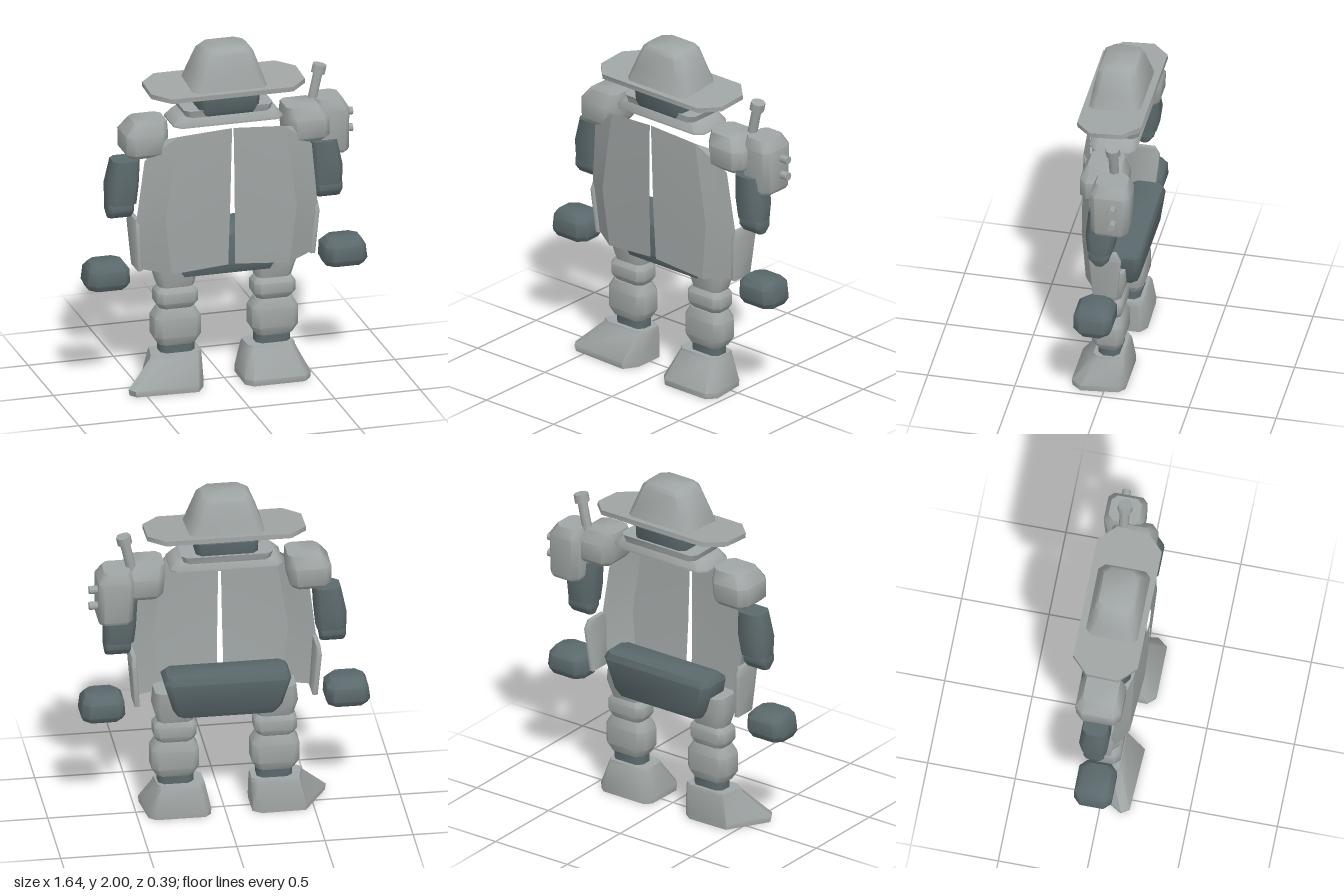
import * as THREE from 'three';
import { toCreasedNormals } from 'three/addons/utils/BufferGeometryUtils.js';

const light = new THREE.MeshStandardMaterial({ color: 0xa0a6a5 });
light.name = 'light grey';
light.side = THREE.DoubleSide;
const dark = new THREE.MeshStandardMaterial({ color: 0x5c6a6d });
dark.name = 'slate grey';

// Bevelled rectangle at height y, running from +x towards +z
function ring(y, x0, x1, z0, z1, c = 0.03) {
  return [[x1, z0 + c], [x1, z1 - c], [x1 - c, z1], [x0 + c, z1],
    [x0, z1 - c], [x0, z0 + c], [x0 + c, z0], [x1 - c, z0]].map(([x, z]) => [x, y, z]);
}

const poly = (y, pts) => pts.map(([x, z]) => [x, y, z]);

function build(triangles, crease) {
  const g = new THREE.BufferGeometry();
  g.setAttribute('position', new THREE.Float32BufferAttribute(triangles.flat(), 3));
  return toCreasedNormals(g, crease);
}

// Closed solid through rings stacked from bottom to top
function loft(rings, crease = 0.9) {
  const t = [];
  const n = rings[0].length;
  const middle = r => [0, 1, 2].map(k => r.reduce((s, p) => s + p[k], 0) / n);
  const low = rings[0], high = rings[rings.length - 1];
  const lowMid = middle(low), highMid = middle(high);
  for (let j = 0; j < n; j++) {
    const k = (j + 1) % n;
    for (let i = 0; i < rings.length - 1; i++) {
      const a = rings[i], b = rings[i + 1];
      t.push(a[j], b[j], a[k], a[k], b[j], b[k]);
    }
    t.push(lowMid, low[j], low[k], highMid, high[k], high[j]);
  }
  return build(t, crease);
}

export function createModel() {
  const model = new THREE.Group();
  const add = (name, geometry, material, parent = model) => {
    const mesh = new THREE.Mesh(geometry, material);
    mesh.name = name;
    parent.add(mesh);
    return mesh;
  };
  // Solid given as rows of [y, x0, x1, z0, z1, bevel]; side -1 mirrors it
  const solid = (name, material, rows, side = 1) => add(name, loft(rows.map(
    ([y, a, b, ...rest]) => side > 0 ? ring(y, a, b, ...rest) : ring(y, -b, -a, ...rest))), material);

  // Hat
  const brim = solid('hatBrim', light, [
    [-0.016, -0.45, 0.45, -0.185, 0.185, 0.095],
    [0.012, -0.45, 0.45, -0.185, 0.185, 0.095]]);
  brim.position.set(0, 1.77, -0.012);
  brim.rotation.x = 0.07;
  solid('hatCrown', light, [
    [1.77, -0.22, 0.22, -0.16, 0.14, 0.03],
    [1.86, -0.19, 0.19, -0.145, 0.127, 0.04],
    [1.975, -0.145, 0.15, -0.12, 0.105, 0.04],
    [2.0, -0.12, 0.125, -0.105, 0.085, 0.04]]);

  // Head and collar
  solid('head', dark, [
    [1.62, -0.165, 0.165, -0.13, 0.11, 0.03],
    [1.65, -0.175, 0.175, -0.14, 0.125, 0.03],
    [1.73, -0.18, 0.18, -0.14, 0.13, 0.03]]);
  solid('lowerCollar', light, [
    [1.565, -0.32, 0.32, -0.15, 0.12, 0.04],
    [1.575, -0.32, 0.32, -0.15, 0.12, 0.04],
    [1.62, -0.28, 0.28, -0.13, 0.1, 0.04]]);
  solid('upperCollar', light, [
    [1.62, -0.245, 0.245, -0.15, 0.11, 0.03],
    [1.66, -0.26, 0.26, -0.155, 0.115, 0.03]]);

  // Waist block
  solid('waist', dark, [
    [0.65, -0.28, 0.28, -0.15, 0.06, 0.03],
    [0.7, -0.31, 0.31, -0.17, 0.07, 0.03],
    [0.87, -0.36, 0.36, -0.19, 0.04, 0.03],
    [0.91, -0.34, 0.34, -0.18, 0.0, 0.03]]);

  // Coat fronts: thin folded sheets, open at the back
  const coatRows = [
    [[0.004, 1.56, 0.172], [0.31, 1.53, 0.145], [0.38, 1.5, 0.09]],
    [[0.008, 1.4, 0.17], [0.335, 1.37, 0.145], [0.49, 1.38, 0.08]],
    [[0.014, 1.05, 0.163], [0.385, 1.04, 0.14], [0.53, 1.02, 0.055]],
    [[0.02, 0.735, 0.148], [0.345, 0.7, 0.125], [0.51, 0.72, 0.03]]];
  for (const s of [1, -1]) {
    const t = [];
    const p = (i, j) => { const [x, y, z] = coatRows[i][j]; return [s * x, y, z]; };
    for (let i = 0; i < 3; i++) for (let j = 0; j < 2; j++) {
      const a = p(i, j), b = p(i + 1, j), c = p(i + 1, j + 1), d = p(i, j + 1);
      if (s > 0) t.push(a, b, c, a, c, d);
      else t.push(a, c, b, a, d, c);
    }
    add(s > 0 ? 'leftCoatFront' : 'rightCoatFront', build(t, 0.3), light);
  }

  for (const s of [1, -1]) {
    const side = s > 0 ? 'left' : 'right';

    // Hip plate
    solid(side + 'HipPlate', light, [
      [0.71, 0.49, 0.52, -0.09, 0.05, 0.006],
      [0.97, 0.51, 0.54, -0.115, 0.07, 0.006],
      [1.02, 0.51, 0.535, -0.09, 0.05, 0.006]], s);

    // Arm
    solid(side + 'Shoulder', light, [
      [1.4, 0.38, 0.57, -0.12, 0.09, 0.03],
      [1.425, 0.36, 0.595, -0.14, 0.115, 0.04],
      [1.53, 0.35, 0.595, -0.145, 0.115, 0.04],
      [1.6, 0.35, 0.54, -0.11, 0.08, 0.03]], s);
    solid(side + 'UpperArm', dark, [
      [1.11, 0.52, 0.685, -0.09, 0.05, 0.03],
      [1.22, 0.51, 0.685, -0.105, 0.06, 0.03],
      [1.37, 0.5, 0.655, -0.09, 0.05, 0.03]], s);
    solid(side + 'Elbow', dark, [
      [1.03, 0.54, 0.68, -0.045, 0.01, 0.015],
      [1.07, 0.535, 0.685, -0.075, 0.04, 0.015],
      [1.11, 0.535, 0.685, -0.075, 0.04, 0.015],
      [1.145, 0.54, 0.68, -0.045, 0.01, 0.015]], s);
    solid(side + 'Hand', dark, [
      [0.625, 0.585, 0.805, -0.09, 0.085, 0.04],
      [0.66, 0.57, 0.82, -0.11, 0.105, 0.04],
      [0.74, 0.575, 0.81, -0.11, 0.105, 0.04],
      [0.775, 0.6, 0.79, -0.08, 0.08, 0.04]], s);

    // Leg segments
    solid(side + 'Thigh', light, [
      [0.59, 0.185, 0.385, -0.08, 0.05, 0.03],
      [0.68, 0.165, 0.41, -0.1, 0.065, 0.03],
      [0.78, 0.175, 0.4, -0.1, 0.065, 0.03]], s);
    solid(side + 'Knee', light, [
      [0.465, 0.185, 0.385, -0.075, 0.05, 0.03],
      [0.5, 0.165, 0.405, -0.09, 0.07, 0.03],
      [0.56, 0.165, 0.405, -0.09, 0.07, 0.03],
      [0.59, 0.185, 0.385, -0.075, 0.05, 0.03]], s);
    solid(side + 'Shin', light, [
      [0.25, 0.18, 0.39, -0.075, 0.06, 0.03],
      [0.3, 0.15, 0.42, -0.095, 0.08, 0.035],
      [0.41, 0.15, 0.42, -0.095, 0.08, 0.035],
      [0.465, 0.18, 0.39, -0.075, 0.06, 0.03]], s);
    solid(side + 'Ankle', dark, [
      [0.19, 0.18, 0.38, -0.07, 0.05, 0.03],
      [0.25, 0.18, 0.38, -0.07, 0.05, 0.03]], s);
  }

  // Boots: the right one is turned out further
  const foot = (name, sole, top) => {
    const rim = sole.map(([x, z], i) => [x + (x - top[i][0]) * 0.05, z + (z - top[i][1]) * 0.05]);
    add(name, loft([poly(0, sole), poly(0.035, rim), poly(0.18, top),
      poly(0.2, top.map(([x, z], i) => [x * 0.97 + (x > 0 ? 0.008 : -0.008), z * 0.9]))]), light);
  };
  foot('rightFoot',
    [[-0.15, -0.08], [-0.15, 0.1], [-0.2, 0.18], [-0.56, 0.165], [-0.59, 0.12], [-0.45, -0.11], [-0.2, -0.115]],
    [[-0.145, -0.07], [-0.145, 0.04], [-0.18, 0.085], [-0.4, 0.085], [-0.45, 0.05], [-0.42, -0.095], [-0.18, -0.1]]);
  foot('leftFoot',
    [[0.44, -0.08], [0.465, 0.13], [0.42, 0.185], [0.12, 0.185], [0.08, 0.14], [0.085, -0.08], [0.12, -0.115], [0.4, -0.115]],
    [[0.39, -0.07], [0.4, 0.05], [0.37, 0.085], [0.15, 0.085], [0.12, 0.05], [0.115, -0.07], [0.15, -0.1], [0.37, -0.1]]);

  // Radio on the left shoulder
  const radio = new THREE.Group();
  radio.name = 'shoulderRadio';
  model.add(radio);
  add('radioBody', loft([
    ring(1.28, 0.55, 0.725, -0.18, 0.01, 0.03),
    ring(1.3, 0.54, 0.735, -0.19, 0.02, 0.03),
    ring(1.54, 0.535, 0.735, -0.2, 0.025, 0.03),
    ring(1.6, 0.55, 0.7, -0.175, 0.0, 0.03)]), light, radio);
  for (const y of [1.48, 1.38]) {
    const knob = add('radioKnob', new THREE.CylinderGeometry(0.024, 0.024, 0.07, 8), light, radio);
    knob.rotation.z = Math.PI / 2;
    knob.position.set(0.748, y, -0.11);
  }
  const aerial = new THREE.Group();
  aerial.name = 'aerial';
  aerial.position.set(0.535, 1.57, -0.08);
  aerial.rotation.z = -0.22;
  radio.add(aerial);
  add('aerialRod', new THREE.CylinderGeometry(0.028, 0.028, 0.18, 8), light, aerial).position.y = 0.09;
  add('aerialTip', new THREE.CylinderGeometry(0.042, 0.042, 0.05, 8), light, aerial).position.y = 0.2;

  return model;
}
